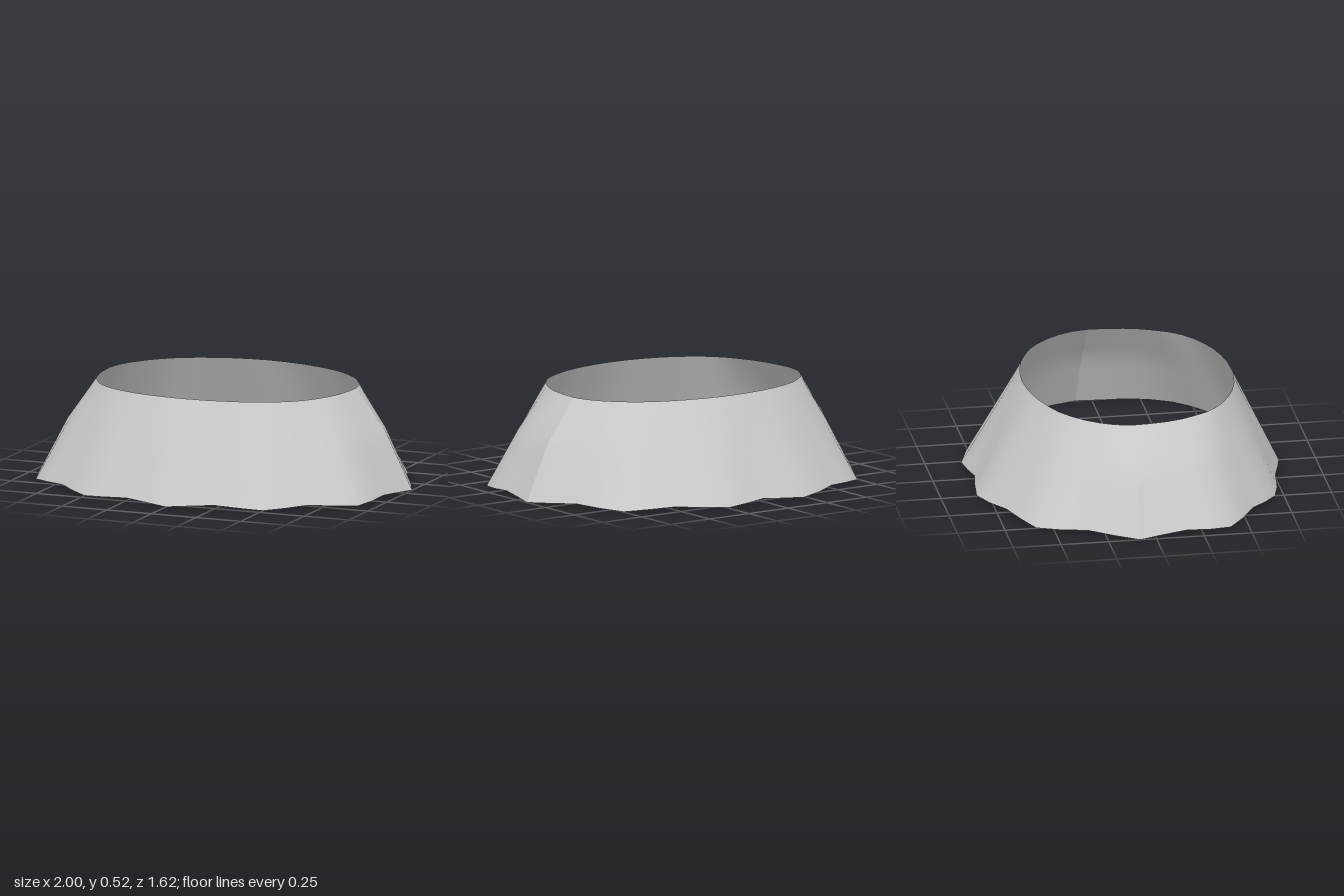
import * as THREE from 'three';

// Left half of each rim as [x, z], from front centre to back centre.
const hem = [
  [0, 0.81], [0.11, 0.785], [0.245, 0.75], [0.39, 0.735], [0.5, 0.705], [0.6, 0.635],
  [0.685, 0.56], [0.805, 0.485], [0.9, 0.405], [0.935, 0.29], [0.945, 0.17], [0.97, 0.04],
  [1, -0.085], [0.94, -0.21], [0.865, -0.335], [0.815, -0.465], [0.745, -0.585], [0.63, -0.645],
  [0.495, -0.7], [0.375, -0.765], [0.24, -0.812], [0.11, -0.8], [0, -0.783],
];
const collar = [
  [0, 0.56], [0.1, 0.555], [0.2, 0.54], [0.3, 0.515], [0.385, 0.48], [0.46, 0.44],
  [0.525, 0.39], [0.575, 0.335], [0.615, 0.265], [0.65, 0.19], [0.672, 0.11], [0.685, 0.02],
  [0.69, -0.07], [0.672, -0.16], [0.635, -0.235], [0.585, -0.305], [0.525, -0.365], [0.45, -0.42],
  [0.365, -0.46], [0.28, -0.49], [0.19, -0.513], [0.095, -0.527], [0, -0.533],
];
const ROWS = 7;
const SIDE_SEAM = 12;

// Point on the left half: index i around the rim, t from hem to collar.
function wallPoint(i, t, side) {
  const [bx, bz] = hem[i];
  const [tx, tz] = collar[i];
  const hemY = 0.008 - 0.008 * Math.cos(i * Math.PI / 2);
  const collarY = 0.515 + 0.025 * tz * tz;
  // the sides bow outwards slightly, most at just over half height
  const bow = 0.035 * bx ** 6 * (t < 0.57 ? t / 0.57 : (1 - t) / 0.43);
  return [
    side * (THREE.MathUtils.lerp(bx, tx, t) + bow),
    THREE.MathUtils.lerp(hemY, collarY, t),
    THREE.MathUtils.lerp(bz, tz, t),
  ];
}

// Loft a smooth panel through a list of [index, side] columns.
function panel(name, columns, material) {
  const positions = [];
  const faces = [];
  for (const [i, side] of columns) {
    for (let r = 0; r <= ROWS; r++) positions.push(...wallPoint(i, r / ROWS, side));
  }
  for (let c = 0; c < columns.length - 1; c++) {
    for (let r = 0; r < ROWS; r++) {
      const a = c * (ROWS + 1) + r;
      const b = a + ROWS + 1;
      faces.push(a, b, b + 1, a, b + 1, a + 1);
    }
  }
  const geometry = new THREE.BufferGeometry();
  geometry.setAttribute('position', new THREE.Float32BufferAttribute(positions, 3));
  geometry.setIndex(faces);
  geometry.computeVertexNormals();
  const mesh = new THREE.Mesh(geometry, material);
  mesh.name = name;
  return mesh;
}

export function createModel() {
  const group = new THREE.Group();
  group.name = 'flaredSkirt';
  const material = new THREE.MeshStandardMaterial({ color: 0xcccccc, side: THREE.DoubleSide });

  // The two panels meet at a crease on each side.
  const last = hem.length - 1;
  const front = [];
  const back = [];
  for (let i = -SIDE_SEAM; i <= SIDE_SEAM; i++) front.push([Math.abs(i), i < 0 ? -1 : 1]);
  for (let i = SIDE_SEAM; i <= 2 * last - SIDE_SEAM; i++) {
    back.push(i <= last ? [i, 1] : [2 * last - i, -1]);
  }
  group.add(panel('frontPanel', front, material), panel('backPanel', back, material));
  return group;
}
